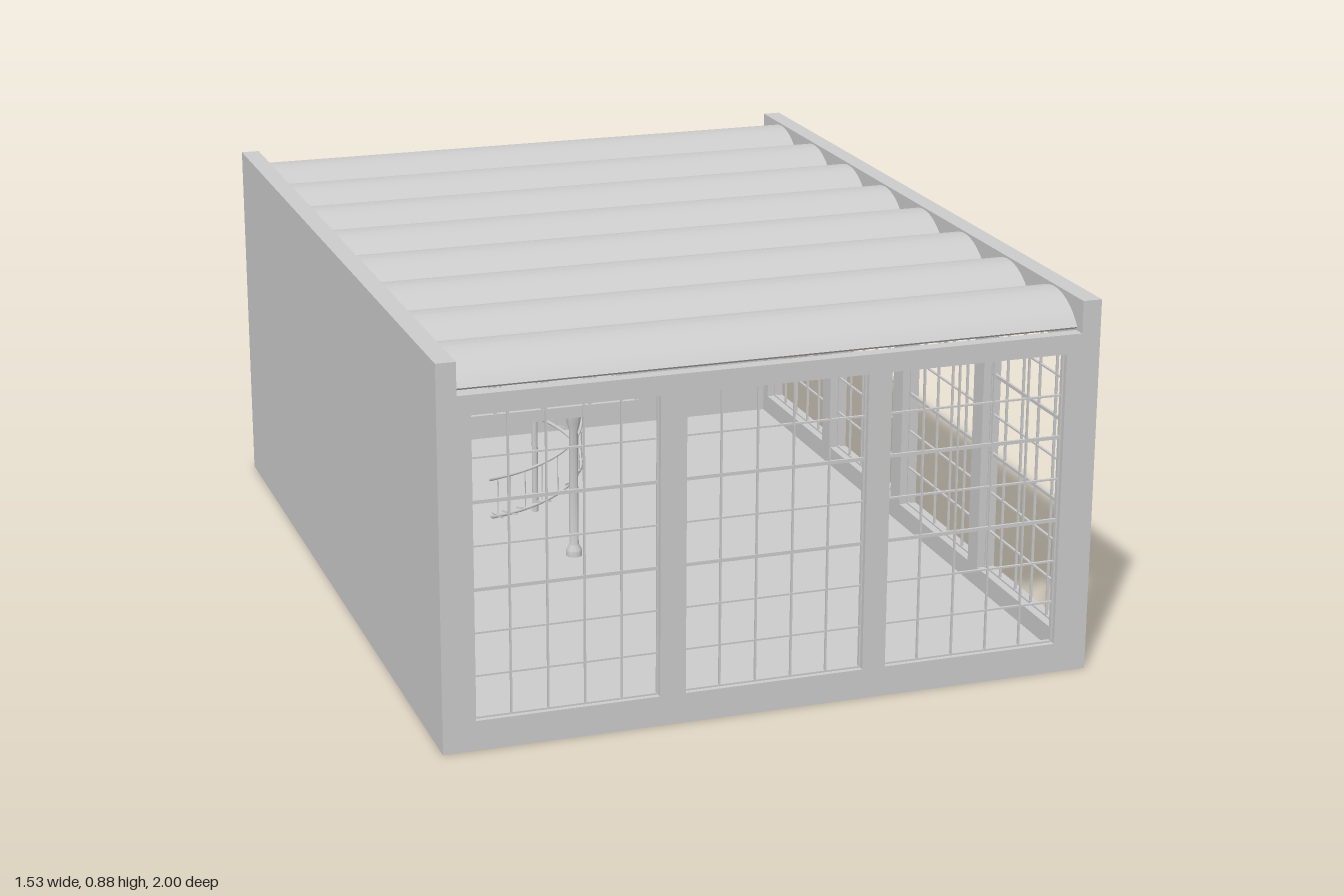
import * as THREE from 'three';
import { toCreasedNormals } from 'three/addons/utils/BufferGeometryUtils.js';

const mat = new THREE.MeshStandardMaterial({ color: 0xcccccc, side: THREE.DoubleSide });

function add(parent, name, geo, x = 0, y = 0, z = 0) {
  const m = new THREE.Mesh(geo, mat);
  m.name = name;
  m.position.set(x, y, z);
  parent.add(m);
  return m;
}

// Box given by its min and max corners
function box(parent, name, x0, x1, y0, y1, z0, z1) {
  return add(parent, name, new THREE.BoxGeometry(x1 - x0, y1 - y0, z1 - z0),
    (x0 + x1) / 2, (y0 + y1) / 2, (z0 + z1) / 2);
}

function group(parent, name) {
  const g = new THREE.Group();
  g.name = name;
  parent.add(g);
  return g;
}

const rect = (C, x0, x1, y0, y1) => new C([[x0, y0], [x1, y0], [x1, y1], [x0, y1]]
  .map(p => new THREE.Vector2(...p)));

const extrude = (shape, depth, curveSegments = 12) =>
  new THREE.ExtrudeGeometry(shape, { depth, bevelEnabled: false, curveSegments });

const WIN_Y0 = 0.07, WIN_Y1 = 0.765;

// Wall in the local xy plane with window openings and glazing bars
function windowWall(parent, name, x0, x1, top, depth, windows) {
  const g = group(parent, name);
  const shape = rect(THREE.Shape, x0, x1, 0, top);
  for (const [a, b] of windows) shape.holes.push(rect(THREE.Path, a, b, WIN_Y0, WIN_Y1));
  add(g, name + 'Panel', extrude(shape, depth));
  const zc = depth / 2;
  for (const [a, b] of windows) {
    for (let i = 0; i <= 5; i++) {
      const x = a + (b - a) * i / 5, w = i % 5 ? 0.002 : 0.004;
      box(g, 'verticalBar', x - w, x + w, WIN_Y0, WIN_Y1, zc - 0.003, zc + 0.003);
    }
    for (let j = 0; j <= 7; j++) {
      const y = WIN_Y0 + (WIN_Y1 - WIN_Y0) * j / 7;
      const w = [0, 3, 5, 7].includes(j) ? 0.004 : 0.002;
      box(g, 'horizontalBar', a, b, y - w, y + w, zc - 0.003, zc + 0.003);
    }
  }
  return g;
}

// Balustrade along local +x, standing on y = 0
function railing(parent, name, length, n) {
  const g = group(parent, name), H = 0.115, t = 0.003, step = length / n;
  box(g, 'handrail', 0, length, H - 0.006, H, -0.005, 0.005);
  box(g, 'bottomRail', 0, length, 0.006, 0.011, -t, t);
  for (let i = 0; i <= n; i++) {
    const x = i * step;
    box(g, 'post', x - 0.004, x + 0.004, 0, H, -0.004, 0.004);
    if (i === n) break;
    const a = x + 0.014, b = x + step - 0.014;
    for (const px of [a, b]) box(g, 'panelSide', px - 0.002, px + 0.002, 0.011, H - 0.006, -t, t);
    for (const py of [0.02, H - 0.016]) box(g, 'panelRail', a, b, py - 0.002, py + 0.002, -t, t);
  }
  return g;
}

function spiralStair(parent) {
  const g = group(parent, 'spiralStair');
  const R = 0.125, N = 22, a0 = -Math.PI / 2, a1 = 2 * Math.PI;
  const at = (t, r, lift) => {
    const a = a0 + (a1 - a0) * t;
    return new THREE.Vector3(Math.sin(a) * r, 0.02 + 0.4 * t + lift, Math.cos(a) * r);
  };
  add(g, 'centrePost', new THREE.CylinderGeometry(0.008, 0.008, 0.5, 12), 0, 0.27, 0);
  const d = (a1 - a0) / N;
  for (let i = 0; i < N; i++) {
    // Wedge tread lying flat, turned to its angle
    const s = new THREE.Shape();
    s.moveTo(0, 0);
    s.absarc(0, 0, R, -d * 0.55, d * 0.55, false);
    s.closePath();
    const geo = extrude(s, 0.005, 3).rotateX(-Math.PI / 2);
    const t = (i + 1) / N, p = at(t, R - 0.004, 0);
    const tread = add(g, 'tread', geo, 0, p.y - 0.005, 0);
    tread.rotation.y = a0 + (a1 - a0) * t - Math.PI / 2;
    add(g, 'baluster', new THREE.CylinderGeometry(0.0015, 0.0015, 0.1, 5), p.x, p.y + 0.05, p.z);
  }
  const helix = (name, lift, r) => {
    const pts = Array.from({ length: 41 }, (_, i) => at(i / 40, R - 0.004, lift));
    add(g, name, new THREE.TubeGeometry(new THREE.CatmullRomCurve3(pts), 120, r, 6));
  };
  helix('stairHandrail', 0.1, 0.004);
  helix('stairStringer', -0.004, 0.005);
  return g;
}

export function createModel() {
  const model = new THREE.Group();
  model.name = 'vaultedStudio';

  // Floor and walls
  box(model, 'floor', -0.765, 0.765, 0, 0.02, -1, 1);
  box(model, 'leftBlankWall', -0.765, -0.72, 0, 0.885, -1, 1);
  box(model, 'backWall', -0.72, 0.72, 0, 0.815, -1, -0.975);
  windowWall(model, 'frontWall', -0.72, 0.72, 0.81, 0.03,
    [[-0.69, -0.27], [-0.21, 0.21], [0.265, 0.685]]).position.z = 0.97;
  const side = windowWall(model, 'sideWall', -1, 1, 0.885, 0.045,
    [[0.5, 0.925], [0.02, 0.445], [-0.46, -0.04], [-0.94, -0.52]]);
  side.rotation.y = -Math.PI / 2;
  side.position.x = 0.765;

  // Roof of eight shallow barrel vaults
  const roof = group(model, 'roof');
  const pitch = 0.245, c = pitch / 2, h = 0.062, thick = 0.01;
  const R = (h * h + c * c) / (2 * h), phi = Math.asin(c / R), up = Math.PI / 2;
  const arch = new THREE.Shape();
  arch.absarc(0, 0, R, up - phi, up + phi, false);
  arch.absarc(0, 0, R - thick, up + phi, up - phi, true);
  arch.closePath();
  const vault = toCreasedNormals(extrude(arch, 1.44, 20), 0.5);
  for (let i = 0; i < 8; i++) {
    const m = add(roof, 'vault', vault, 0.72, 0.88 - R, -0.985 + pitch * (i + 0.5));
    m.rotation.y = -Math.PI / 2;
  }

  // Mezzanine with a round stair opening
  const mezz = group(model, 'mezzanine');
  const sx = -0.15, sz = -0.36;
  const deck = rect(THREE.Shape, -0.72, 0.015, 0, 0.975);
  const hole = new THREE.Path();
  hole.absarc(sx, -sz, 0.135, 0, Math.PI * 2, true);
  deck.holes.push(hole);
  add(mezz, 'deck', extrude(deck, 0.03, 32).rotateX(-Math.PI / 2), 0, 0.39, 0);
  railing(mezz, 'frontRailing', 0.73, 6).position.set(-0.72, 0.42, -0.006);
  const sideRail = railing(mezz, 'sideRailing', 0.965, 8);
  sideRail.rotation.y = Math.PI / 2;
  sideRail.position.set(0.01, 0.42, -0.006);

  // Columns with flared base and capital
  const profile = [[0.02, 0], [0.02, 0.015], [0.012, 0.03], [0.011, 0.33], [0.018, 0.355], [0.02, 0.37]]
    .map(p => new THREE.Vector2(...p));
  const column = toCreasedNormals(new THREE.LatheGeometry(profile, 16), 0.6);
  for (const x of [-0.56, -0.15]) add(mezz, 'column', column, x, 0.02, -0.02);

  spiralStair(model).position.set(sx, 0, sz);

  // Pendant lamps
  for (const z of [0.473, -0.01, -0.49]) {
    const lamp = group(model, 'pendantLamp');
    lamp.position.set(0, 0.667, z);
    add(lamp, 'shade', new THREE.SphereGeometry(0.035, 20, 8, 0, Math.PI * 2, 0, Math.PI / 2)).scale.y = 0.85;
    add(lamp, 'rod', new THREE.CylinderGeometry(0.0015, 0.0015, 0.15, 6), 0, 0.1, 0);
  }
  return model;
}
